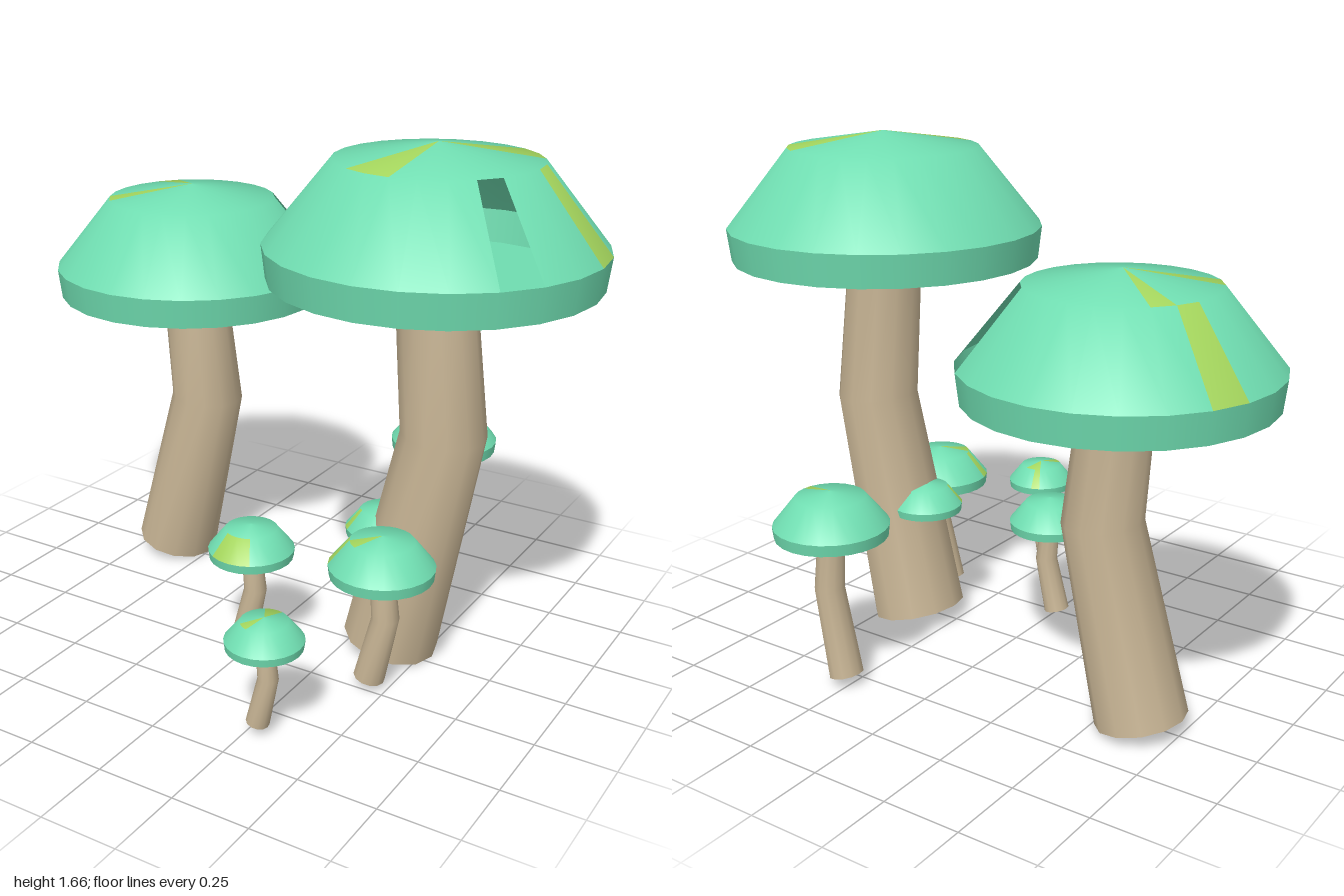
import * as THREE from 'three';
import { toCreasedNormals } from 'three/addons/utils/BufferGeometryUtils.js';

const SEG = 24;
const capMat = new THREE.MeshStandardMaterial({ color: 0x6fdcb0, side: THREE.DoubleSide });
capMat.name = 'capGreen';
const patchMat = new THREE.MeshStandardMaterial({ color: 0xa3d45c, side: THREE.DoubleSide });
patchMat.name = 'patchYellow';
const stemMat = new THREE.MeshStandardMaterial({ color: 0xc8b595 });
stemMat.name = 'stemTan';

// Patches: side = steep band, top = shallow cone, hole = missing side facet.
// Each number is the start angle (degrees from +x towards +z) of a 15 degree facet.
const MUSHROOMS = [
  { name: 'tallMushroom', x: 0.49, z: -0.035, r: 0.508, h: 1.26, side: [-15], top: [90, 105, -60, -45], hole: [30] },
  { name: 'wideMushroom', x: -0.535, z: -0.27, r: 0.465, h: 1.015, side: [195], top: [135, 210], hole: [-45] },
  { name: 'backSprout', x: 0.305, z: -0.555, r: 0.18, h: 0.502, top: [0] },
  { name: 'rightSprout', x: 0.002, z: 0.207, r: 0.138, h: 0.335, side: [60, 75, 90, 105, 165, 180] },
  { name: 'leftSprout', x: 0.475, z: 0.22, r: 0.163, h: 0.4, side: [150], top: [120, 135] },
  { name: 'frontSprout', x: 0.305, z: 0.61, r: 0.118, h: 0.3, side: [240], top: [240, 255, 270, 105, 120] },
  { name: 'hiddenSprout', x: 0.35, z: -0.03, r: 0.122, h: 0.403, side: [60, 135] },
];

function add(group, name, geometry, material) {
  const mesh = new THREE.Mesh(geometry, material);
  mesh.name = name;
  group.add(mesh);
  return mesh;
}

const lathe = (pts) => new THREE.LatheGeometry(pts.map(([x, y]) => new THREE.Vector2(x, y)), SEG);

// Dome with its facets sorted into plain, painted and missing ones
function domeGeometry(r, { side = [], top = [], hole = [] }) {
  const geo = lathe([[r, 0.205 * r], [0.603 * r, 0.7 * r], [0, 0.797 * r]]);
  const column = (deg) => (((75 - deg) / 15) + 2 * SEG) % SEG;
  const painted = [side.map(column), top.map(column)];
  const missing = hole.map(column);
  const source = geo.index.array;
  const plainFaces = [], paintFaces = [];
  for (let i = 0; i < SEG; i++) {
    for (let band = 0; band < 2; band++) {
      if (band === 0 && missing.includes(i)) continue;
      const start = (i * 2 + band) * 6;
      const target = painted[band].includes(i) ? paintFaces : plainFaces;
      target.push(...source.slice(start, start + 6));
    }
  }
  geo.setIndex([...plainFaces, ...paintFaces]);
  geo.addGroup(0, plainFaces.length, 0);
  if (paintFaces.length) geo.addGroup(plainFaces.length, paintFaces.length, 1);
  return geo;
}

// Bent, tapering stem: three rings, the lower ones leaning with the bend
function stemGeometry(r, h) {
  const base = 0.04;
  const rings = [
    { y: base, x: -0.21 * r, rad: 0.295 * r, tilt: -0.226 },
    { y: base + (h - base) * 0.61, x: 0.102 * r, rad: 0.26 * r, tilt: -0.085 },
    { y: h + 0.01 * r, x: 0.011 * r, rad: 0.235 * r, tilt: 0 },
  ];
  const geo = new THREE.CylinderGeometry(1, 1, 2, 12, 2);
  const p = geo.attributes.position;
  for (let i = 0; i < p.count; i++) {
    const ring = rings[Math.round(p.getY(i)) + 1];
    const dx = p.getX(i) * ring.rad;
    p.setXYZ(i, ring.x + dx, ring.y + ring.tilt * dx, p.getZ(i) * ring.rad * 1.04);
  }
  return toCreasedNormals(geo, 0.8);
}

function mushroom(spec) {
  const { name, x, z, r, h } = spec;
  const group = new THREE.Group();
  group.name = name;
  group.position.set(x, 0, z);
  add(group, 'stem', stemGeometry(r, h), stemMat);

  const cap = new THREE.Group();
  cap.name = 'cap';
  cap.position.y = h;
  add(cap, 'dome', domeGeometry(r, spec), [capMat, patchMat]);
  add(cap, 'rim', lathe([[0.975 * r, 0], [r, 0.205 * r]]), capMat);
  const underside = add(cap, 'underside', new THREE.CircleGeometry(0.975 * r, SEG), capMat);
  underside.rotation.x = Math.PI / 2;
  group.add(cap);
  return group;
}

export function createModel() {
  const model = new THREE.Group();
  model.name = 'mushroomCluster';
  for (const spec of MUSHROOMS) model.add(mushroom(spec));
  return model;
}
